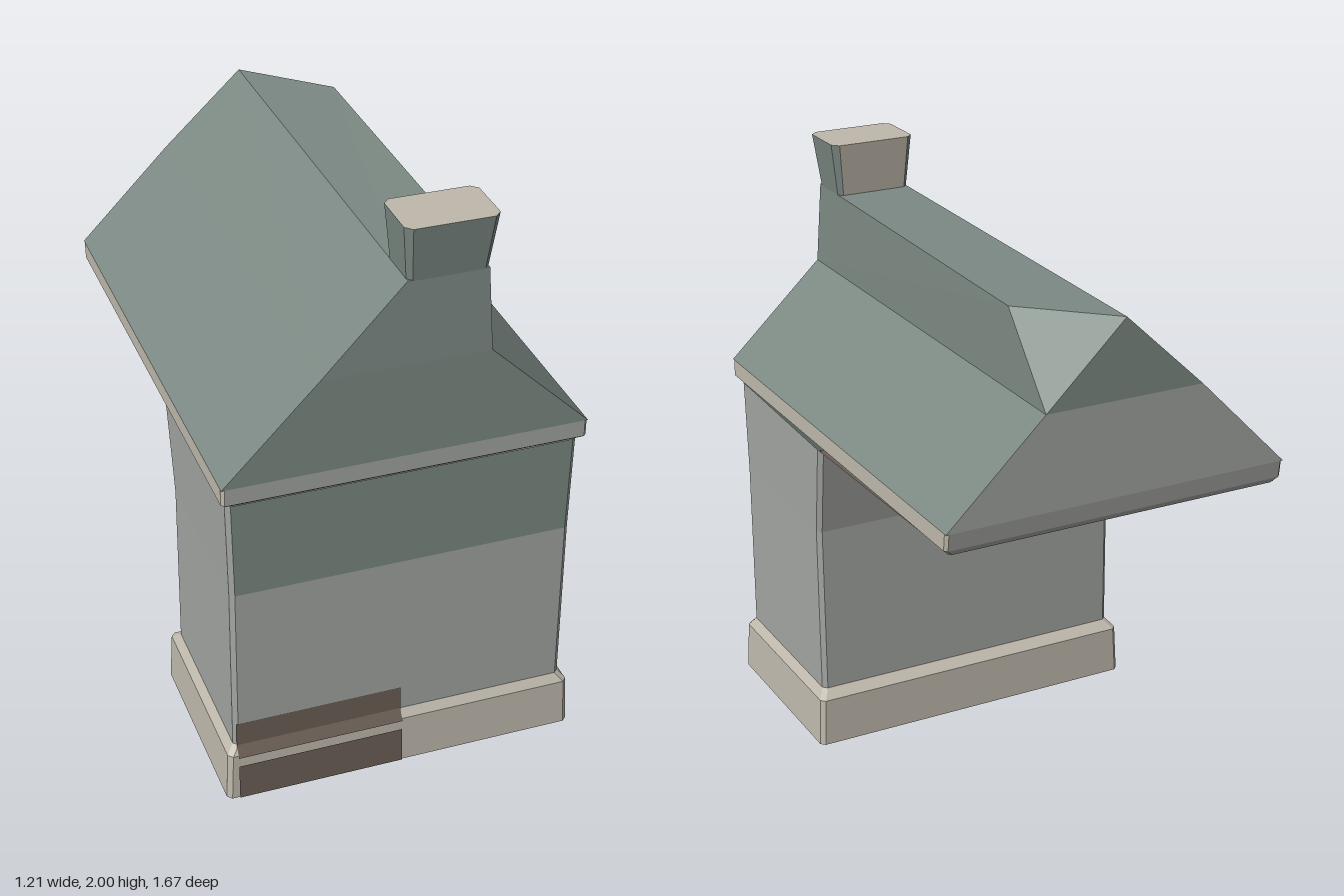
import * as THREE from 'three';

const GREEN = 0x7c8983, GREY = 0xa3a6a2, BEIGE = 0xbfb9ac, BROWN = 0x6a5f55;

// Flat-shaded mesh from convex polygons (corners counterclockwise from outside)
function faces(name, color, polys) {
  const pos = [];
  for (const p of polys)
    for (let i = 1; i < p.length - 1; i++) pos.push(...p[0], ...p[i], ...p[i + 1]);
  const geo = new THREE.BufferGeometry();
  geo.setAttribute('position', new THREE.Float32BufferAttribute(pos, 3));
  geo.computeVertexNormals();
  const mat = new THREE.MeshStandardMaterial({ color, flatShading: true, side: THREE.DoubleSide });
  const mesh = new THREE.Mesh(geo, mat);
  mesh.name = name;
  return mesh;
}

// Rectangle with cut corners; the back edge may sit at another height
function ring(y, x0, x1, zb, zf, c = 0.015, yBack = y) {
  return [[x0 + c, y, zf], [x1 - c, y, zf], [x1, y, zf - c], [x1, yBack, zb + c],
    [x1 - c, yBack, zb], [x0 + c, yBack, zb], [x0, yBack, zb + c], [x0, y, zf - c]];
}

// Side quads between stacked rings; side 0 is the front, side 4 the back
function sides(rings, keep = () => true) {
  const out = [];
  for (let k = 0; k < rings.length - 1; k++)
    for (let i = 0; i < 8; i++) {
      const j = (i + 1) % 8, a = rings[k], b = rings[k + 1];
      if (keep(i, k)) out.push([a[i], a[j], b[j], b[i]]);
    }
  return out;
}

// Band across x following a [y, z] line from bottom to top
function band(x0, x1, line) {
  return line.slice(1).map(([y, z], i) => {
    const [py, pz] = line[i];
    return [[x0, py, pz], [x1, py, pz], [x1, y, z], [x0, y, z]];
  });
}

export function createModel() {
  const model = new THREE.Group();
  const add = (...args) => model.add(faces(...args));

  // Plinth, open below, with a sloped ledge
  const wallFoot = ring(0.2, -0.573, 0.573, 0.175, 0.805);
  add('plinth', BEIGE, sides([
    ring(0, -0.605, 0.605, 0.135, 0.83), ring(0.17, -0.597, 0.597, 0.14, 0.825), wallFoot]));

  // Walls; the back leans out under the overhang
  const wallRings = [wallFoot, ring(0.8, -0.573, 0.573, 0.18, 0.805),
    ring(1.14, -0.58, 0.58, 0.13, 0.805, 0.015, 1.122)];
  const isBand = (i, k) => i === 0 && k === 1;
  add('walls', GREY, sides(wallRings, (i, k) => !isBand(i, k)));
  add('frontUpperBand', GREEN, sides(wallRings, isBand));

  // Dark panels on the front
  add('lowerFrontPanel', BROWN, band(-0.565, 0, [[0, 0.834], [0.13, 0.831]]));
  add('upperFrontPanel', BROWN, band(-0.565, 0, [[0.165, 0.832], [0.203, 0.809], [0.29, 0.809]]));

  // Overhang underside and eaves
  add('soffit', BROWN, [[[-0.58, 1.122, 0.13], [-0.58, 1.145, -0.82],
    [0.58, 1.145, -0.82], [0.58, 1.122, 0.13]]]);
  const eaves = [ring(1.142, -0.58, 0.58, -0.82, 0.805, 0.01),
    ring(1.162, -0.6, 0.6, -0.833, 0.83, 0.01), ring(1.22, -0.6, 0.6, -0.84, 0.83, 0.01)];
  add('eavesSides', BEIGE, sides(eaves, i => i % 4 !== 0));
  add('eavesEnds', GREY, sides(eaves, i => i % 4 === 0));

  // Roof corners at the front (F) and back (B)
  const eaveLF = [-0.6, 1.22, 0.83], eaveRF = [0.6, 1.22, 0.83];
  const eaveLB = [-0.6, 1.22, -0.84], eaveRB = [0.6, 1.22, -0.84];
  const midLF = [-0.285, 1.54, 0.825], midRF = [0.265, 1.54, 0.825];
  const midLB = [-0.285, 1.54, -0.84], midRB = [0.265, 1.54, -0.84];
  const topLF = [-0.01, 1.82, 0.812], topRF = [0.25, 1.82, 0.812];
  const topLB = [-0.01, 1.8, -0.835], topRB = [0.256, 1.8, -0.585];

  add('roofSlopes', GREEN, [
    [eaveLF, midLF, midLB, eaveLB], [midLF, topLF, topLB, midLB],
    [eaveRF, eaveRB, midRB, midRF]]);
  add('roofStep', GREEN, [[midRF, midRB, topRB, topRF]]);
  add('roofTop', GREEN, [[topLF, topRF, topRB, topLB]]);
  add('backCornerCut', GREEN, [[midRB, topLB, topRB]]);
  add('frontGable', GREEN, [[eaveLF, eaveRF, midRF, midLF], [midLF, midRF, topRF, topLF]]);
  add('backGableLower', GREY, [[eaveRB, eaveLB, midLB, midRB]]);
  add('backGableUpper', GREEN, [[midRB, midLB, topLB]]);

  // Flared chimney
  const cap = ring(2, -0.027, 0.275, 0.63, 0.835, 0.022);
  const chimney = [ring(1.815, -0.01, 0.25, 0.648, 0.812, 0.015), cap];
  add('chimney', GREEN, sides(chimney, i => i !== 4));
  add('chimneyBack', BEIGE, sides(chimney, i => i === 4));
  add('chimneyCap', BEIGE, [cap]);

  return model;
}
